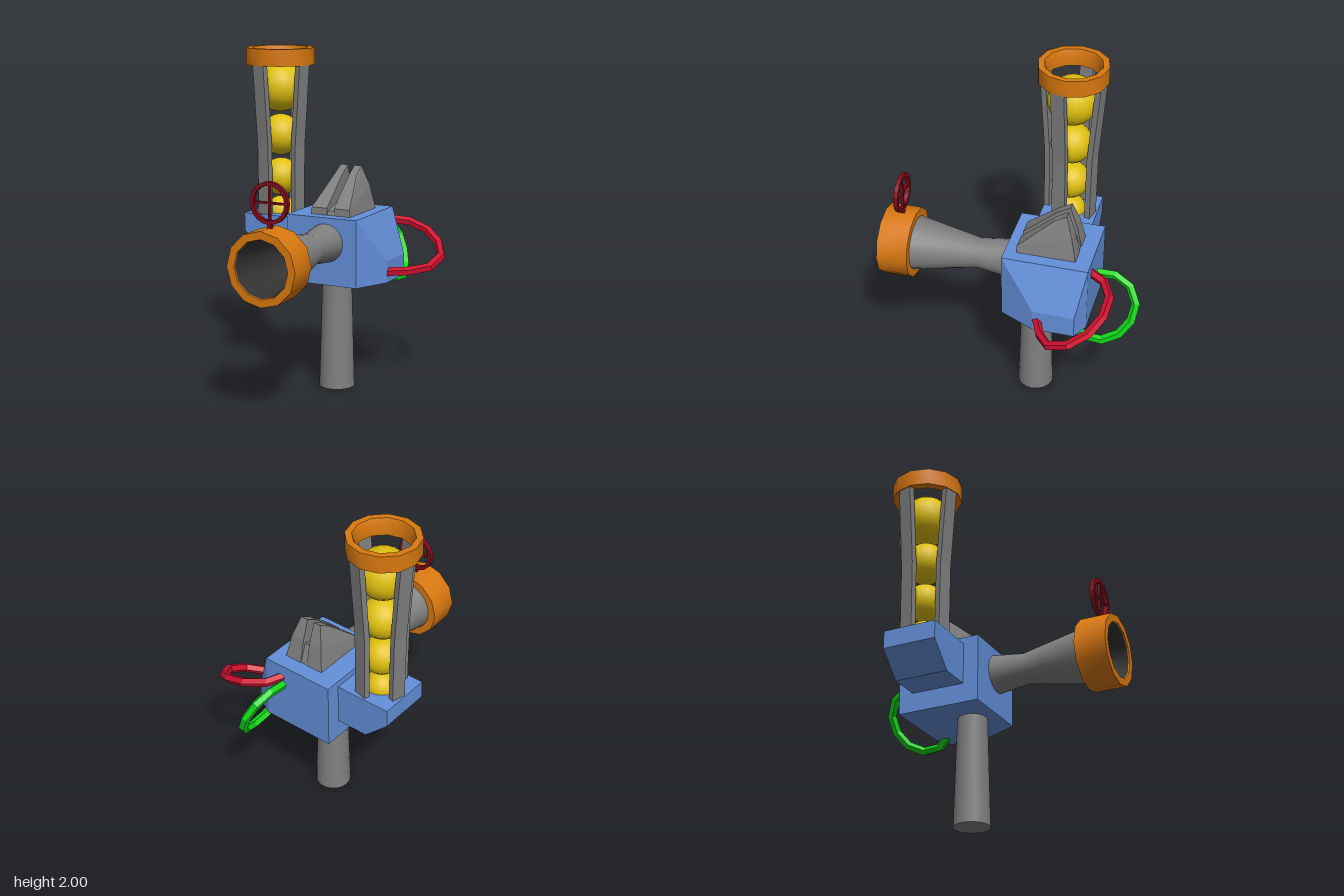
import * as THREE from 'three';
import { toCreasedNormals } from 'three/addons/utils/BufferGeometryUtils.js';
import { ConvexGeometry } from 'three/addons/geometries/ConvexGeometry.js';

const V = (x, y, z) => new THREE.Vector3(x, y, z);

function mat(name, color, side = THREE.FrontSide) {
  const m = new THREE.MeshStandardMaterial({ color, side });
  m.name = name;
  return m;
}

export function createModel() {
  const root = new THREE.Group();
  root.name = 'ballLauncher';
  const blue = mat('blue', 0x6490da);
  const gray = mat('gray', 0x808080);
  const orange = mat('orange', 0xd8780f);
  const yellow = mat('yellow', 0xdfc010);
  const red = mat('red', 0xd01030);
  const darkRed = mat('darkRed', 0x7d0c1a);
  const green = mat('green', 0x10d418);
  const dark = mat('dark', 0x333333, THREE.DoubleSide);

  function add(name, geometry, material, parent = root) {
    const m = new THREE.Mesh(geometry, material);
    m.name = name;
    parent.add(m);
    return m;
  }
  // Lathe from [radius, height] pairs with sharp rims
  const lathe = (pts, sides) => toCreasedNormals(
    new THREE.LatheGeometry(pts.map(p => new THREE.Vector2(...p)), sides), 0.7);
  const hull = pts => new ConvexGeometry(pts.map(p => V(...p)));
  function extrude(pts, depth) {
    const s = new THREE.Shape(pts.map(p => new THREE.Vector2(...p)));
    return new THREE.ExtrudeGeometry(s, { depth, bevelEnabled: false });
  }

  // Main body: a box with a faceted bulge on its left side
  const bodyPts = [];
  for (const y of [0.65, 1.05])
    for (const z of [-0.485, 0.02])
      for (const x of [-0.215, 0.235]) bodyPts.push([x, y, z]);
  for (const y of [0.65, 0.78])
    for (const z of [-0.435, -0.19]) bodyPts.push([0.335, y, z]);
  add('body', hull(bodyPts), blue);

  // Side block carrying the magazine
  add('magazineBase', extrude([[-0.555, 1.012], [-0.555, 0.905], [-0.41, 0.765],
    [-0.2, 0.765], [-0.2, 1.012]], 0.325), blue).position.z = -0.397;

  // Handle
  const handle = add('handle', new THREE.CylinderGeometry(0.088, 0.106, 0.66, 20), gray);
  handle.position.set(0.035, 0.33, -0.14);

  // Barrel, muzzle and bore, turned about the z axis
  const barrel = new THREE.Group();
  barrel.name = 'barrelGroup';
  barrel.position.set(0.035, 0.9, 0);
  barrel.rotation.x = Math.PI / 2;
  root.add(barrel);
  add('barrel', lathe([[0.117, 0], [0.09, 0.21], [0.163, 0.6]], 20), gray, barrel);
  add('muzzle', lathe([[0.155, 0.59], [0.21, 0.59], [0.21, 0.775], [0.165, 0.775], [0.158, 0.6]], 12), orange, barrel);
  add('bore', lathe([[0, 0.24], [0.088, 0.24], [0.152, 0.6], [0.162, 0.768]], 12), dark, barrel);

  // Front sight: ring with crossed spokes
  const sight = new THREE.Group();
  sight.name = 'frontSight';
  sight.position.set(0.035, 1.245, 0.67);
  root.add(sight);
  const ring = new THREE.Shape().absarc(0, 0, 0.117, 0, Math.PI * 2);
  ring.holes.push(new THREE.Path().absarc(0, 0, 0.095, 0, Math.PI * 2, true));
  add('sightRing', new THREE.ExtrudeGeometry(ring,
    { depth: 0.026, bevelEnabled: false, curveSegments: 10 }), darkRed, sight).position.z = -0.013;
  add('spokeAcross', new THREE.BoxGeometry(0.2, 0.012, 0.016), darkRed, sight);
  add('spokeUpright', new THREE.BoxGeometry(0.012, 0.2, 0.016), darkRed, sight);
  add('sightFoot', new THREE.BoxGeometry(0.025, 0.05, 0.022), darkRed, sight).position.y = -0.13;

  // Rear sight: two leaning wedges with a slot between them
  const rear = new THREE.Group();
  rear.name = 'rearSight';
  rear.position.x = 0.035;
  root.add(rear);
  for (const s of [-1, 1]) {
    const pts = [];
    // Each row: y, z, outer half width
    for (const [y, z, w] of [[1.04, -0.05, 0.13], [1.04, -0.397, 0.13], [1.092, -0.05, 0.122],
      [1.19, -0.365, 0.105], [1.265, -0.25, 0.072], [1.31, -0.325, 0.068]])
      pts.push([s * 0.022, y, z], [s * w, y, z]);
    add('sightWedge', hull(pts), gray, rear);
  }
  add('sightSlotFloor', hull([-0.025, 0.025].flatMap(x => [[x, 1.04, -0.05], [x, 1.04, -0.395],
    [x, 1.075, -0.06], [x, 1.16, -0.35]])), gray, rear);

  // Magazine: four bent posts, a top ring and stacked balls
  const mag = new THREE.Group();
  mag.name = 'magazine';
  mag.position.set(-0.39, 0, -0.23);
  root.add(mag);
  const postProfile = [[0.118, 1.0], [0.152, 1.0], [0.156, 1.42], [0.195, 1.92], [0.16, 1.92], [0.122, 1.42]];
  for (let i = 0; i < 4; i++) {
    const g = extrude(postProfile, 0.085);
    g.translate(0, 0, -0.0425);
    add('post', g, gray, mag).rotation.y = -0.255 + i * Math.PI / 2;
  }
  add('topRing', lathe([[0.155, 1.9], [0.205, 1.9], [0.205, 2], [0.168, 2], [0.155, 1.965], [0.155, 1.9]], 12), orange, mag);
  for (const [y, r] of [[1.765, 0.147], [1.48, 0.123], [1.225, 0.113], [1.01, 0.095]])
    add('ball', new THREE.SphereGeometry(r, 20, 14), yellow, mag).position.y = y;

  // Cables: faceted square tubes looping out of the body
  function cable(name, pts, material) {
    const curve = new THREE.CatmullRomCurve3(pts.map(p => V(...p)));
    const g = new THREE.TubeGeometry(curve, 8, 0.027, 5).toNonIndexed();
    g.computeVertexNormals();
    add(name, g, material);
    // End caps
    for (const t of [0, 1]) {
      const cap = add(name + 'End', new THREE.CircleGeometry(0.025, 5), material);
      cap.position.copy(curve.getPointAt(t));
      cap.lookAt(cap.position.clone().addScaledVector(curve.getTangentAt(t), t ? 1 : -1));
    }
  }
  cable('redCable', [[0.11, 0.97, -0.45], [0.2, 0.95, -0.59], [0.345, 0.925, -0.625], [0.485, 0.855, -0.575],
    [0.57, 0.785, -0.45], [0.53, 0.73, -0.315], [0.32, 0.71, -0.21]], red);
  cable('greenCable', [[0.09, 0.95, -0.51], [0.105, 0.945, -0.67], [0.165, 0.82, -0.755], [0.225, 0.68, -0.71],
    [0.265, 0.61, -0.6], [0.27, 0.605, -0.5], [0.24, 0.68, -0.4]], green);

  return root;
}
